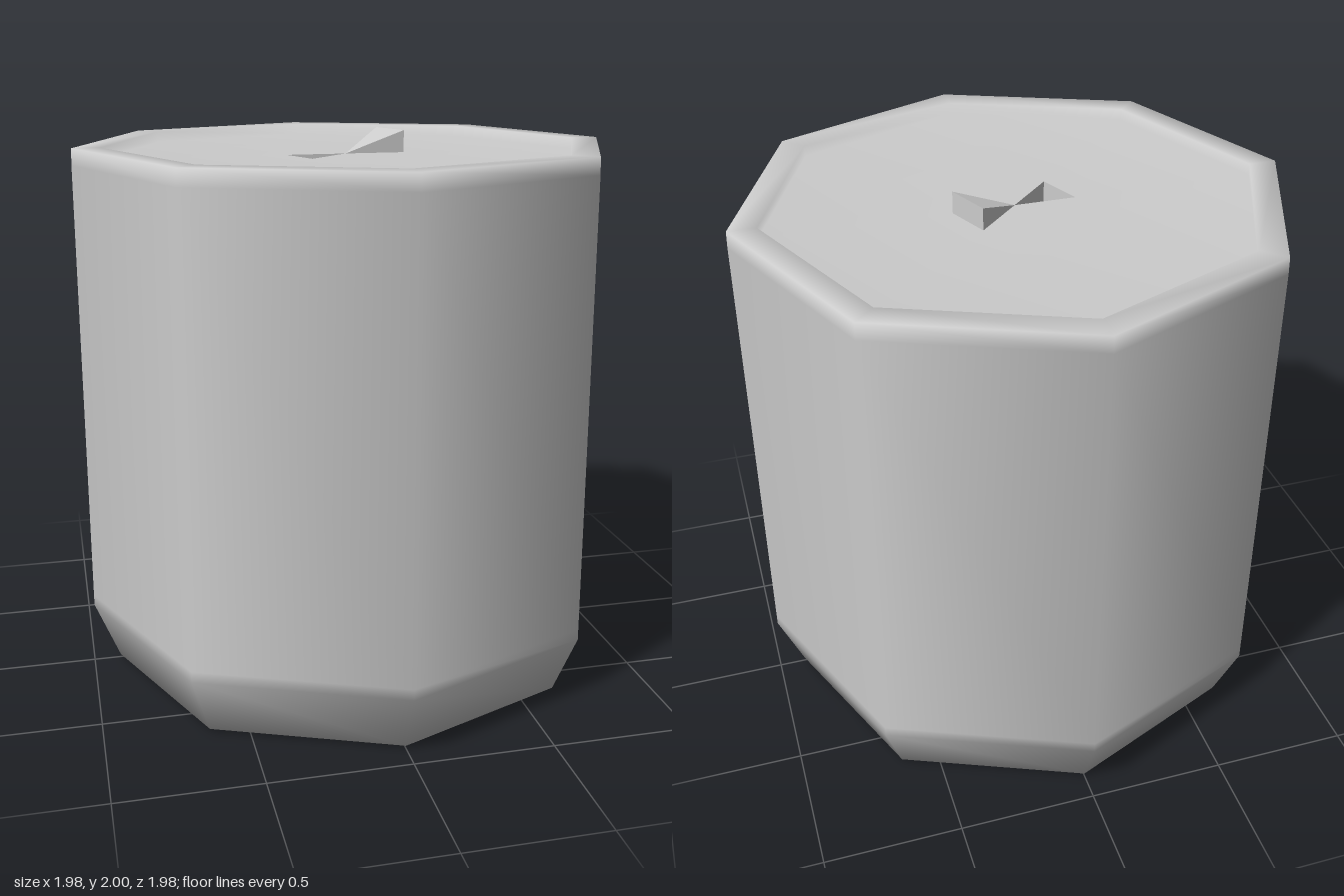
import * as THREE from 'three';

const SIDES = 8;
const LID_Y = 1.92;
const HUB_R = 0.22;

// Smooth eight-sided shell: base, bevel, wall, rolled rim and recessed lid
function makeShell() {
  const profile = [
    [0, 0], [0.54, 0], [0.9, 0.01], [0.99, 0.23], [0.99, 0.27],
    [0.982, 1.9], [0.98, 1.96], [0.88, 1.96], [0.88, LID_Y], [HUB_R, LID_Y],
  ].map(([r, y]) => new THREE.Vector2(r, y));
  return new THREE.LatheGeometry(profile, SIDES);
}

// One sector of the lid centre, tilted so its outer edge lies at height tipY
function makeSector(index, tipY) {
  const corner = (i, y) => {
    const a = (i / SIDES) * Math.PI * 2;
    return [HUB_R * Math.cos(a), y, -HUB_R * Math.sin(a)];
  };
  const c = [0, LID_Y, 0];
  const a = corner(index, tipY), b = corner(index + 1, tipY);
  const positions = [...c, ...a, ...b];
  if (tipY !== LID_Y) {
    // Side and end walls joining the tilted sector to the lid
    const a0 = corner(index, LID_Y), b0 = corner(index + 1, LID_Y);
    positions.push(...c, ...a0, ...a, ...c, ...b, ...b0);
    positions.push(...a, ...a0, ...b0, ...a, ...b0, ...b);
  }
  const geometry = new THREE.BufferGeometry();
  geometry.setAttribute('position', new THREE.Float32BufferAttribute(positions, 3));
  geometry.computeVertexNormals();
  return geometry;
}

export function createModel() {
  const metal = new THREE.MeshStandardMaterial({ color: 0xcccccc });
  metal.name = 'grey metal';
  const model = new THREE.Group();
  model.name = 'can';

  const add = (name, geometry, parent = model) => {
    const mesh = new THREE.Mesh(geometry, metal);
    mesh.name = name;
    parent.add(mesh);
  };

  add('canBody', makeShell());

  // Lid centre: one raised tab, one sunken notch opposite it
  const centre = new THREE.Group();
  centre.name = 'lidCentre';
  model.add(centre);
  for (let i = 0; i < SIDES; i++) {
    if (i === 0) add('raisedTab', makeSector(i, 2), centre);
    else if (i === 4) add('sunkenNotch', makeSector(i, 1.84), centre);
    else add('lidSector', makeSector(i, LID_Y), centre);
  }
  return model;
}
